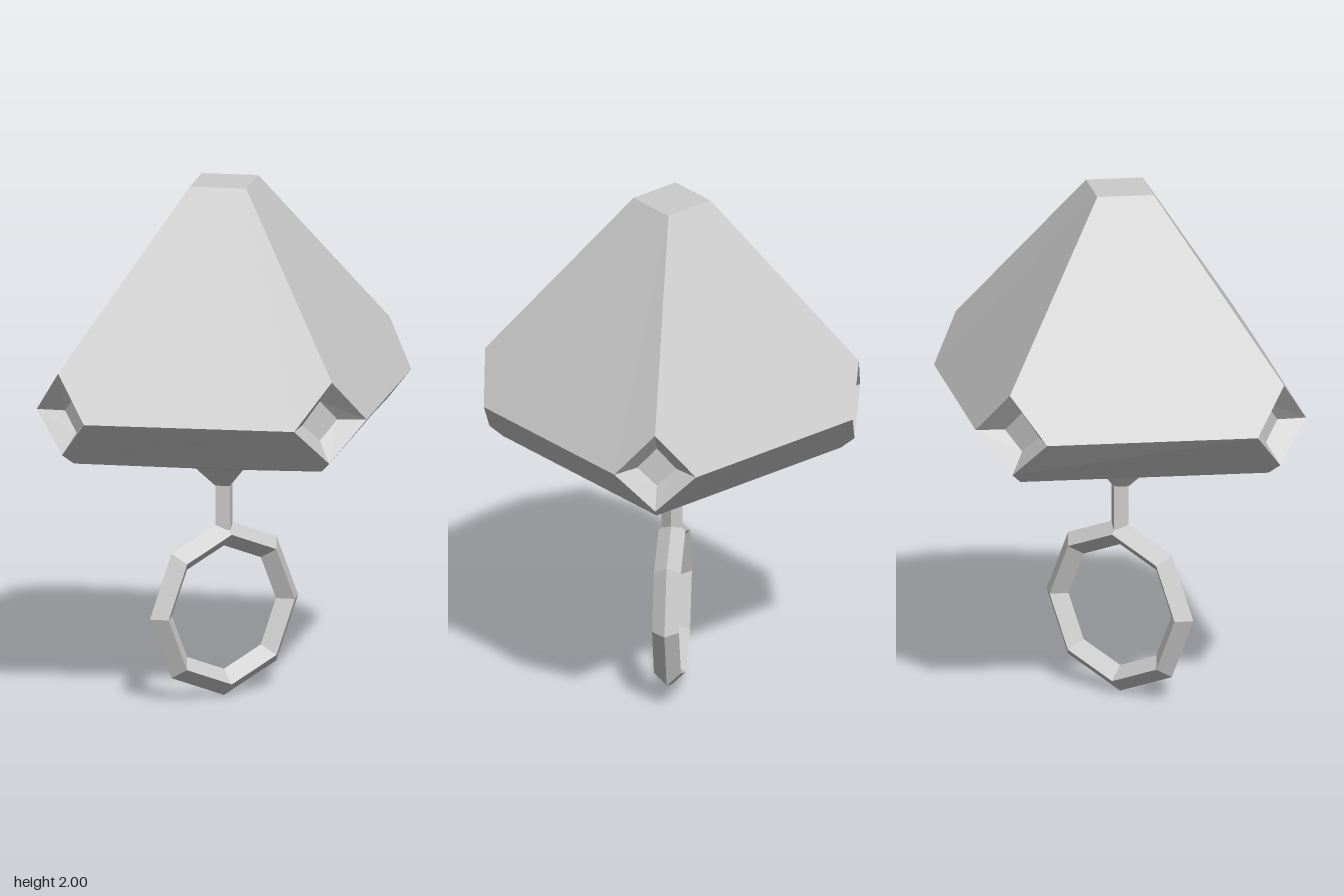
import * as THREE from 'three';

const material = new THREE.MeshStandardMaterial({ color: 0xcccccc, flatShading: true });
const DEPTH = 0.925; // the body is slightly narrower in z than in x

// Flat polygons, repeated in four quarter turns and squeezed in z
function quarterTurned(name, polygons, zScale) {
  const positions = [];
  for (let k = 0; k < 4; k++) {
    for (const poly of polygons) {
      const pts = poly.map(([x, y, z]) => {
        const v = new THREE.Vector3(x, y, z).applyAxisAngle(new THREE.Vector3(0, 1, 0), k * Math.PI / 2);
        return [v.x, v.y, v.z * zScale];
      });
      for (let i = 1; i < pts.length - 1; i++) positions.push(...pts[0], ...pts[i], ...pts[i + 1]);
    }
  }
  const geometry = new THREE.BufferGeometry();
  geometry.setAttribute('position', new THREE.Float32BufferAttribute(positions, 3));
  geometry.computeVertexNormals();
  const mesh = new THREE.Mesh(geometry, material);
  mesh.name = name;
  return mesh;
}

export function createModel() {
  const group = new THREE.Group();
  group.name = 'facetedPendant';

  // Corner points on the x side, and their partners on the z side
  const swap = ([x, y, z]) => [z, y, x];
  const top = [0.158, 2, 0];
  const cornerTop = [0.765, 1.36, 0];
  const cornerSide = [0.755, 1.19, 0.167];
  const cornerBottom = [0.747, 1.04, 0];
  const rim = [0.692, 1, 0];
  const neckTop = [0.13, 0.9, 0];
  const neckBottom = [0.04, 0.82, 0];
  const stemBottom = [0.04, 0.65, 0];
  const strip = (a, b) => [a, swap(a), swap(b), b];

  // Main crystal: sloped roof face, lower band, underside and neck
  group.add(quarterTurned('body', [
    [[0, 2, 0], swap(top), top],
    [top, swap(top), swap(cornerTop), swap(cornerSide), cornerSide, cornerTop],
    [cornerSide, swap(cornerSide), swap(cornerBottom), swap(rim), rim, cornerBottom],
    strip(rim, neckTop),
    strip(neckTop, neckBottom),
  ], DEPTH));

  // Recessed diamond socket in each corner
  const outer = [cornerTop, cornerSide, cornerBottom, [cornerSide[0], cornerSide[1], -cornerSide[2]]];
  const inner = outer.map(([, y, z]) => [0.68, 1.19 + (y - 1.19) * 0.48, z * 0.48]);
  const walls = outer.map((p, i) => {
    const j = (i + 1) % 4;
    return [p, outer[j], inner[j], inner[i]];
  });
  group.add(quarterTurned('cornerSockets', [...walls, inner], DEPTH));

  // Square stem
  group.add(quarterTurned('stem', [strip(neckBottom, stemBottom)], 1));

  // Eight-sided ring with a diamond section
  const ring = new THREE.Mesh(new THREE.TorusGeometry(0.291, 0.051, 4, 8), material);
  ring.name = 'ring';
  ring.position.y = 0.342;
  group.add(ring);

  return group;
}
